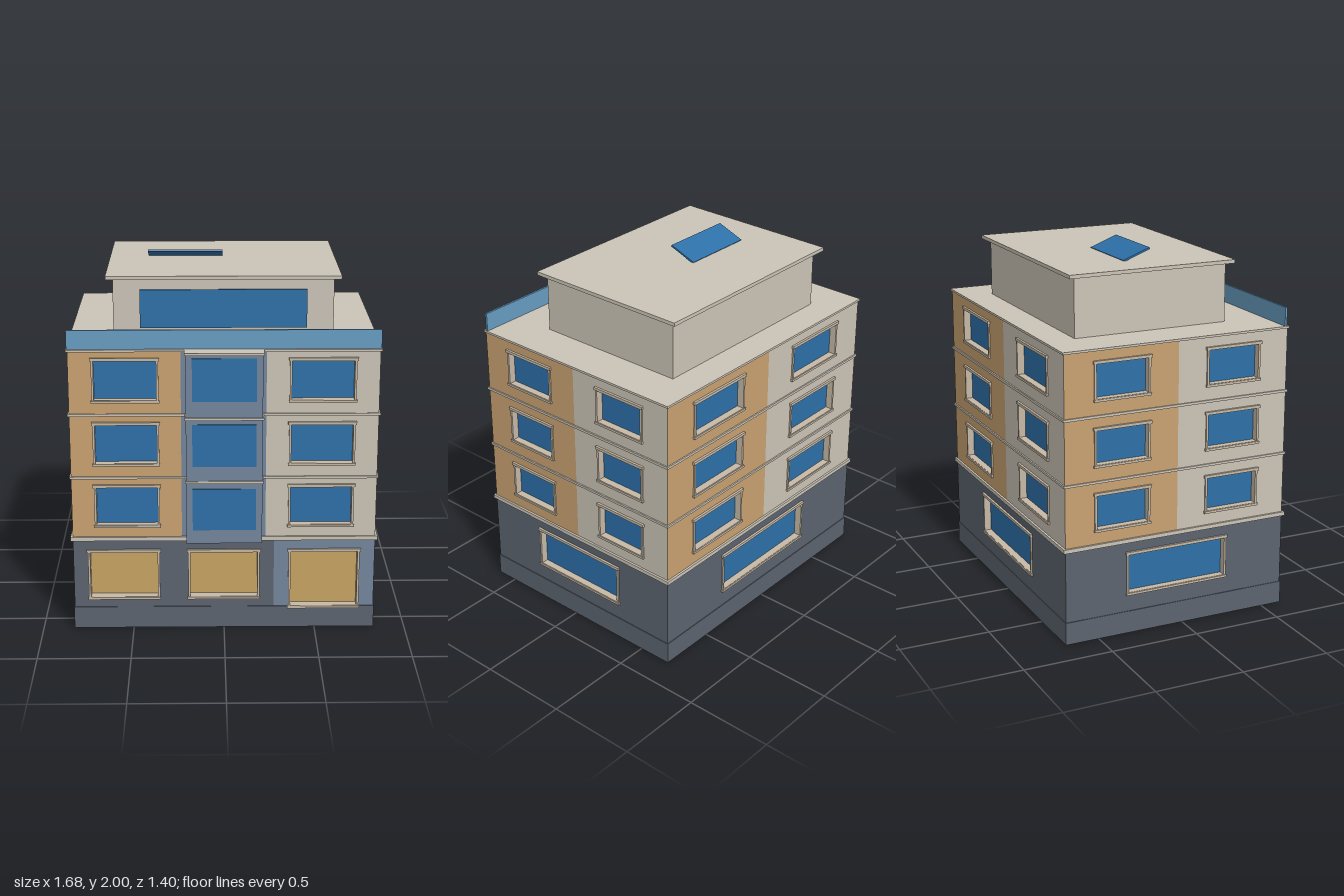
import * as THREE from 'three';

const mat = (name, color) => {
  const m = new THREE.MeshStandardMaterial({ color });
  m.name = name;
  return m;
};

export function createModel() {
  const cream = mat('cream render', 0xcbc4b7);
  const ochre = mat('ochre render', 0xcaa271);
  const trim = mat('beige trim', 0xc6b9a6);
  const dark = mat('dark stone', 0x5c646f);
  const slate = mat('slate panel', 0x74859c);
  const glass = mat('blue glass', 0x2d70a8);
  const shop = mat('shop glass', 0xc8a464);
  const rail = mat('pale rail glass', 0x689dc2);

  const HW = 0.825, HD = 0.652, ZC = -0.035; // half width, half depth, body centre
  const model = new THREE.Group();
  model.name = 'building';
  const body = new THREE.Group();
  body.name = 'body';
  body.position.z = ZC;
  model.add(body);

  const add = (parent, name, geo, material) => {
    const m = new THREE.Mesh(geo, material);
    m.name = name;
    parent.add(m);
    return m;
  };
  // Box given by its limits on each axis
  const box = (parent, name, material, x0, x1, y0, y1, z0, z1) => {
    const m = add(parent, name, new THREE.BoxGeometry(x1 - x0, y1 - y0, z1 - z0), material);
    m.position.set((x0 + x1) / 2, (y0 + y1) / 2, (z0 + z1) / 2);
    return m;
  };
  const rect = (Type, x0, x1, y0, y1) => new Type([
    [x0, y0], [x1, y0], [x1, y1], [x0, y1],
  ].map(([x, y]) => new THREE.Vector2(x, y)));

  // Framed, recessed opening: ring frame, head, sill and pane
  const opening = (parent, name, pane, [x0, x1, y0, y1], depth) => {
    const t = 0.012, g = new THREE.Group();
    g.name = name;
    parent.add(g);
    const ring = rect(THREE.Shape, x0, x1, y0, y1);
    ring.holes.push(rect(THREE.Path, x0 + t, x1 - t, y0 + t, y1 - t));
    const frame = add(g, 'frame', new THREE.ExtrudeGeometry(ring, { depth: depth + 0.008, bevelEnabled: false }), trim);
    frame.position.z = -depth;
    box(g, 'head', trim, x0 - 0.006, x1 + 0.006, y1 - t, y1 + 0.004, -0.01, 0.013);
    box(g, 'sill', trim, x0 - 0.004, x1 + 0.004, y0 - 0.003, y0 + 0.01, -0.01, 0.013);
    box(g, 'pane', pane, x0 + 0.005, x1 - 0.005, y0 + 0.005, y1 - 0.005, -depth, -depth + 0.008);
  };

  // Flat wall panel with openings cut through it
  const wall = (parent, name, material, [x0, x1, y0, y1], openings, pane = glass, depth = 0.04) => {
    const s = rect(THREE.Shape, x0, x1, y0, y1);
    for (const [a, b, c, d] of openings) {
      s.holes.push(rect(THREE.Path, a + 0.005, b - 0.005, Math.max(c + 0.005, y0 + 0.001), d - 0.005));
    }
    add(parent, name, new THREE.ShapeGeometry(s), material);
    openings.forEach((o) => opening(parent, pane === shop ? 'shopOpening' : 'window', pane, o, depth));
  };

  const STEP = 0.354, G0 = 0.12, G1 = 0.525, U1 = 1.59;
  const column = (cx, w, y0, y1) => [0, 1, 2].map((i) =>
    [cx - w / 2, cx + w / 2, y0 + i * STEP, y1 + i * STEP]);

  // Facades: each is drawn facing +z, then turned into place
  const facade = (name, angle, distance) => {
    const g = new THREE.Group();
    g.name = name;
    g.rotation.y = angle;
    g.position.set(Math.sin(angle) * distance, 0, Math.cos(angle) * distance);
    body.add(g);
    return g;
  };

  const front = facade('frontFacade', 0, HD);
  wall(front, 'ochreWall', ochre, [-HW, -0.23, G1, U1], column(-0.525, 0.355, 0.6, 0.84));
  wall(front, 'slateWall', slate, [-0.23, 0.225, G1, U1], []);
  wall(front, 'creamWall', cream, [0.225, HW, G1, U1], column(0.525, 0.355, 0.6, 0.84));
  wall(front, 'shopWall', dark, [-HW, 0.273, G0, G1],
    [[-0.745, -0.352, 0.175, 0.463], [-0.197, 0.195, 0.175, 0.463]], shop, 0.05);
  wall(front, 'entranceWall', slate, [0.273, HW, G0, G1], [[0.353, 0.743, 0.117, 0.463]], shop, 0.05);

  const plain = [
    ['leftFacade', Math.PI / 2, HW, HD, 0.325, 0.32, 0.6],
    ['backFacade', Math.PI, HD, HW, 0.415, 0.41, 0.73],
    ['rightFacade', -Math.PI / 2, HW, HD, 0.325, 0.32, 0.6],
  ];
  for (const [name, angle, dist, half, cx, w, gw] of plain) {
    const f = facade(name, angle, dist);
    wall(f, 'ochreWall', ochre, [-half, 0, G1, U1], column(-cx, w, 0.612, 0.822));
    wall(f, 'creamWall', cream, [0, half, G1, U1], column(cx, w, 0.612, 0.822));
    wall(f, 'groundWall', dark, [-half, half, G0, G1], [[-gw / 2, gw / 2, 0.222, 0.462]]);
  }

  // Plinth and floor bands
  box(body, 'plinth', dark, -HW - 0.004, HW + 0.004, 0, 0.125, -HD - 0.004, HD + 0.004);
  [[0.52, 0.542, 0.012], [0.877, 0.89, 0.008], [1.231, 1.245, 0.008], [1.585, 1.597, 0.008]].forEach(([y0, y1, o], i) => {
    box(body, i === 3 ? 'roofSlab' : 'floorBand', cream, -HW - o, HW + o, y0, y1, -HD - o, HD + o);
  });

  // Projecting bay with its own bands and windows
  const bay = new THREE.Group();
  bay.name = 'bay';
  model.add(bay);
  box(bay, 'bayBody', slate, -0.204, 0.204, 0.532, 1.588, 0.6, 0.695);
  for (let i = 0; i < 3; i++) {
    const y = i * STEP;
    box(bay, 'bayBand', cream, -0.21, 0.21, 0.8765 + y, 0.8895 + y, 0.6, 0.702);
    box(bay, 'bayWindow', glass, -0.17, 0.17, 0.61 + y + i * 0.008, 0.845 + y + i * 0.008, 0.692, 0.7);
  }

  // Roof terrace rail, penthouse and tilted skylight
  box(model, 'terraceRail', rail, -0.83, 0.83, 1.597, 1.7, 0.598, 0.61);
  box(model, 'penthouse', cream, -0.594, 0.594, 1.595, 1.925, -0.524, 0.36);
  box(model, 'penthouseWindow', glass, -0.45, 0.45, 1.65, 1.86, 0.358, 0.37);
  box(model, 'penthouseRoof', cream, -0.631, 0.631, 1.92, 1.94, -0.565, 0.398);
  const sky = box(model, 'skylight', glass, -0.415, 0, 1.963, 1.973, -0.163, 0.003);
  sky.rotation.x = -Math.atan2(0.058, 0.155);

  return model;
}
